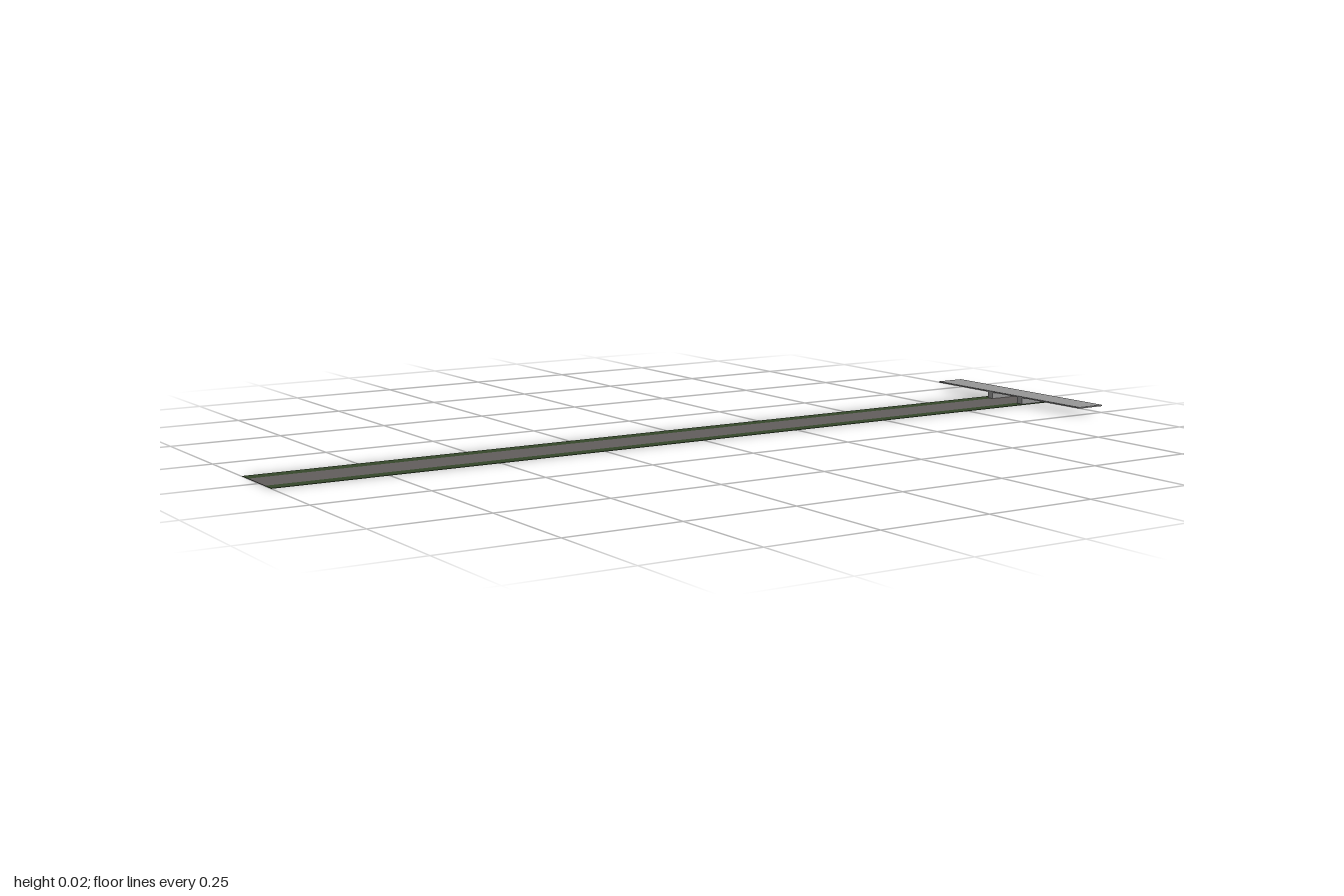
import * as THREE from 'three';

const mat = (name, color) => {
  const m = new THREE.MeshStandardMaterial({ color });
  m.name = name;
  return m;
};

export function createModel() {
  const group = new THREE.Group();
  const asphalt = mat('asphalt', 0x625e5c);
  const grass = mat('grass', 0x35472a);
  const concrete = mat('concrete', 0x979797);

  // Box given by its [min, max] extents on each axis
  const slab = (name, material, [x0, x1], [y0, y1], [z0, z1]) => {
    const mesh = new THREE.Mesh(new THREE.BoxGeometry(x1 - x0, y1 - y0, z1 - z0), material);
    mesh.position.set((x0 + x1) / 2, (y0 + y1) / 2, (z0 + z1) / 2);
    mesh.name = name;
    group.add(mesh);
  };

  // Long road with a grass verge on each side
  const length = [-1, 1], ground = [0, 0.001];
  slab('road', asphalt, length, ground, [-0.055, 0.033]);
  slab('backVerge', grass, length, ground, [-0.088, -0.055]);
  slab('frontVerge', grass, length, ground, [0.033, 0.064]);

  // Overpass crossing the road on two walls
  const width = [0.925, 0.997];
  slab('overpassDeck', concrete, width, [0.016, 0.019], [-0.255, 0.255]);
  slab('frontSupport', concrete, width, [0.001, 0.016], [0.039, 0.057]);
  slab('backSupport', concrete, width, [0.001, 0.016], [-0.067, -0.05]);

  return group;
}
